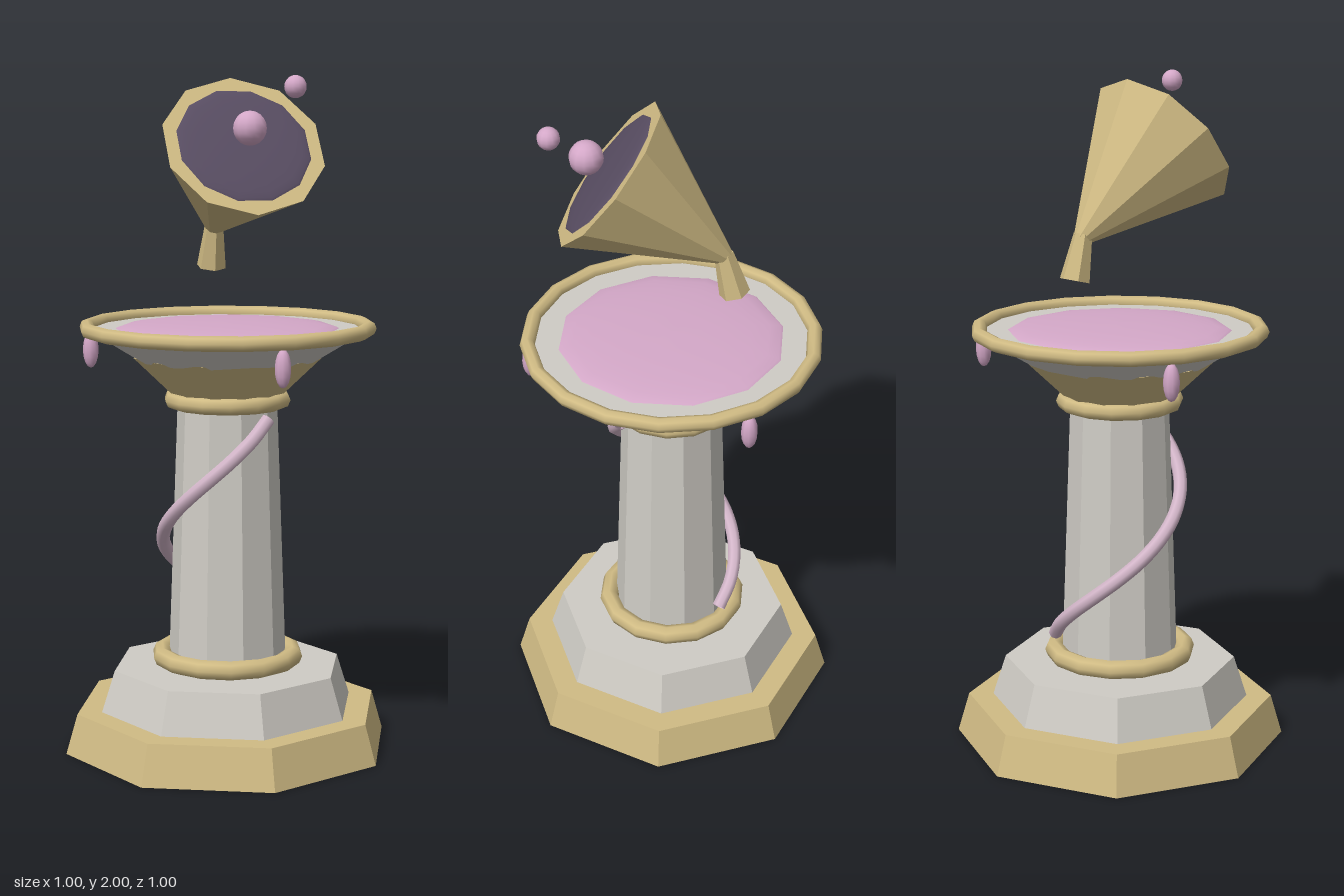
import * as THREE from 'three';

export function createModel() {
  const group = new THREE.Group();
  group.name = 'pedestalFountain';

  const material = (name, color, flat) => {
    const m = new THREE.MeshStandardMaterial({ color });
    m.name = name;
    m.flatShading = !!flat;
    return m;
  };
  const gold = material('gold', 0xd0bb84);
  const stone = material('stone', 0xcfccc5);
  const pink = material('pinkLiquid', 0xd4a8c8);
  const palePink = material('paleVine', 0xd3b6c9);
  const dark = material('darkPurple', 0x584d62);

  const add = (name, geometry, mat, x = 0, y = 0, z = 0, parent = group) => {
    const mesh = new THREE.Mesh(geometry, mat);
    mesh.name = name;
    mesh.position.set(x, y, z);
    parent.add(mesh);
    return mesh;
  };

  // Faceted tapered drum standing between two heights
  const drum = (name, rBottom, rTop, y0, y1, sides, mat) => {
    const g = new THREE.CylinderGeometry(rTop, rBottom, y1 - y0, sides).toNonIndexed();
    g.computeVertexNormals();
    return add(name, g, mat, 0, (y0 + y1) / 2);
  };

  // Horizontal ring
  const ring = (name, radius, tube, y, segments) => {
    const g = new THREE.TorusGeometry(radius, tube, 8, segments);
    g.rotateX(Math.PI / 2);
    return add(name, g, gold, 0, y);
  };

  // Shallow smooth twelve-sided dome with flat sides facing the axes
  const dome = (radius, height) => {
    const points = [];
    for (let i = 0; i <= 6; i++) {
      const a = (i / 6) * Math.PI / 2;
      points.push(new THREE.Vector2(radius * Math.cos(a), height * Math.sin(a)));
    }
    points[6].x = 0;
    return new THREE.LatheGeometry(points, 12, Math.PI / 12);
  };

  // Stepped base
  drum('basePlinth', 0.5, 0.465, 0, 0.12, 8, gold);
  drum('baseStep', 0.39, 0.35, 0.12, 0.245, 8, stone);

  // Column with its collars
  drum('column', 0.177, 0.148, 0.245, 1.06, 10, stone);
  ring('lowerCollar', 0.2, 0.029, 0.275, 14);
  ring('upperCollar', 0.164, 0.026, 1.055, 14);

  // Basin, rim and liquid
  drum('basinFoot', 0.155, 0.285, 1.06, 1.185, 12, gold);
  drum('basin', 0.27, 0.418, 1.175, 1.265, 14, stone);
  ring('basinRim', 0.419, 0.022, 1.268, 18);
  add('pool', dome(0.336, 0.027), pink, 0, 1.262);

  // Drops hanging beneath the rim
  const dropGeometry = new THREE.SphereGeometry(0.024, 10, 8);
  dropGeometry.scale(1, 2.3, 1);
  for (let i = 0; i < 3; i++) {
    const a = 1.46 + (i * Math.PI * 2) / 3;
    add('hangingDrop', dropGeometry, pink, 0.413 * Math.cos(a), 1.195, 0.413 * Math.sin(a));
  }

  // Vine winding down around the column
  const vinePoints = [];
  for (let i = 0; i <= 12; i++) {
    const t = i / 12;
    const a = THREE.MathUtils.degToRad(60 + 247 * t);
    const r = 0.167 + 0.03 * Math.min(1, t * 1.6);
    vinePoints.push(new THREE.Vector3(r * Math.cos(a), 1.01 - 0.68 * t, r * Math.sin(a)));
  }
  const vineCurve = new THREE.CatmullRomCurve3(vinePoints);
  const vineMesh = add('vine', new THREE.TubeGeometry(vineCurve, 40, 0.021, 8), palePink);
  vineMesh.material.side = THREE.DoubleSide;

  // Floating horn: flared bell, dark mouth and short neck
  const horn = new THREE.Group();
  horn.name = 'horn';
  horn.position.set(0, 1.806, 0.175);
  horn.rotation.x = 0.918;
  group.add(horn);
  const bell = new THREE.CylinderGeometry(0.239, 0.022, 0.42, 10).toNonIndexed();
  bell.computeVertexNormals();
  add('hornBell', bell, gold, 0, -0.21, 0, horn);
  add('hornMouth', dome(0.197, 0.014), dark, 0, 0.001, 0, horn);

  const neckGeometry = new THREE.CylinderGeometry(0.028, 0.045, 0.135, 6).toNonIndexed();
  neckGeometry.computeVertexNormals();
  const neck = add('hornNeck', neckGeometry, gold, 0, 1.5, -0.163);
  neck.rotation.x = 0.25;

  // Bubbles leaving the horn
  add('largeBubble', new THREE.SphereGeometry(0.049, 12, 10), pink, 0, 1.855, 0.235);
  add('smallBubble', new THREE.SphereGeometry(0.032, 12, 10), pink, 0.106, 1.97, 0.321);

  return group;
}
